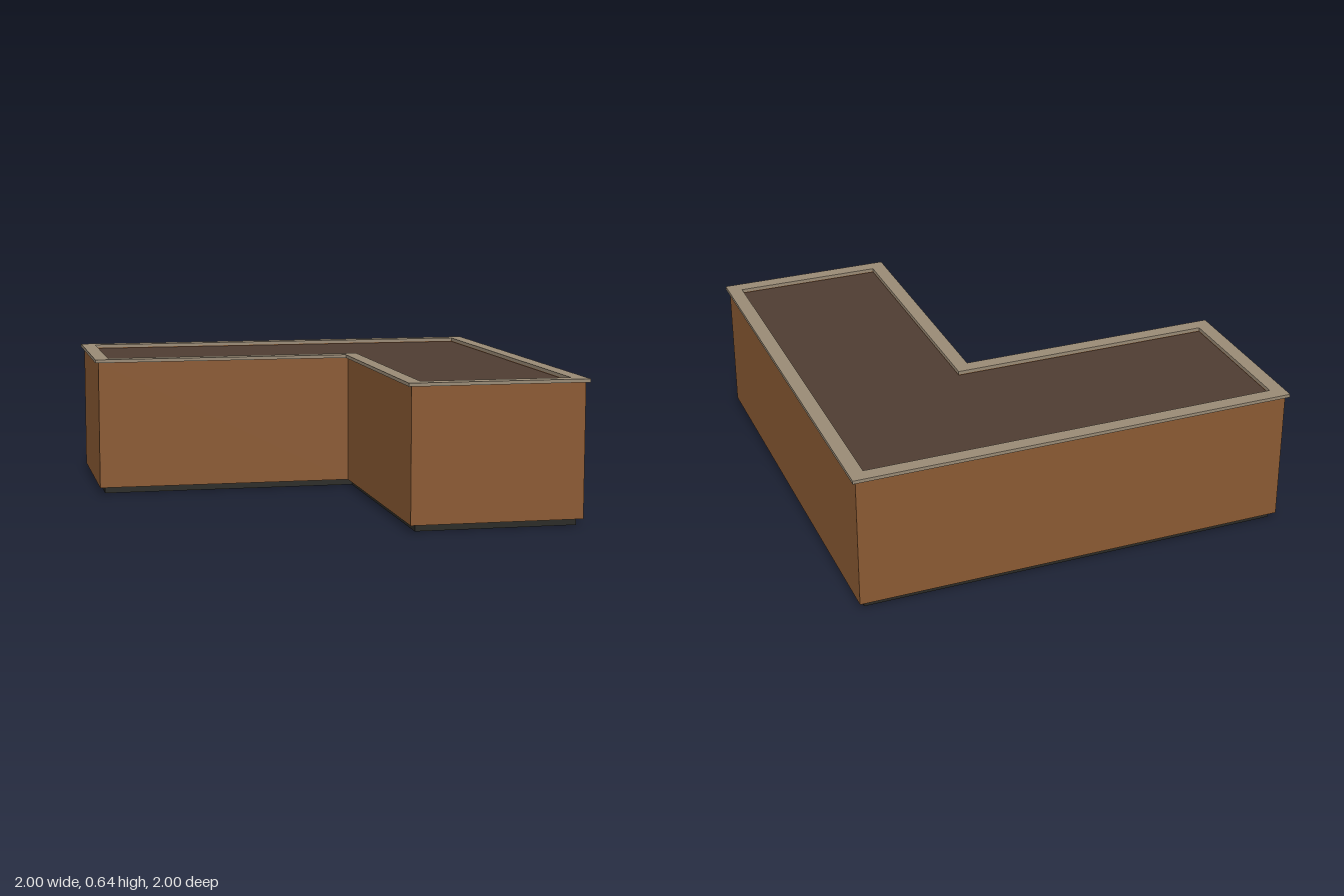
import * as THREE from 'three';

const mat = (name, color) => {
  const m = new THREE.MeshStandardMaterial({ color });
  m.name = name;
  return m;
};

// L-shaped outline in (x, z), moved inward by d on every side
const outline = (d) => [
  [-1 + d, -1 + d], [1 - d, -1 + d], [1 - d, 1 - d],
  [0.2 + d, 1 - d], [0.2 + d, -0.2 - d], [-1 + d, -0.2 - d],
].map(([x, z]) => new THREE.Vector2(x, z));

// Upright L-shaped slab between two heights, hollow when holeInset is given
function slab(name, material, inset, bottom, top, holeInset) {
  const shape = new THREE.Shape(outline(inset));
  if (holeInset !== undefined) shape.holes.push(new THREE.Path(outline(holeInset)));
  const geo = new THREE.ExtrudeGeometry(shape, { depth: top - bottom, bevelEnabled: false });
  geo.rotateX(Math.PI / 2).translate(0, top, 0);
  const mesh = new THREE.Mesh(geo, material);
  mesh.name = name;
  return mesh;
}

export function createModel() {
  const wood = mat('brown wall', 0x8b5a33);
  const stone = mat('taupe rim', 0x9a8b76);
  const earth = mat('dark soil', 0x4f3d32);
  const black = mat('black base', 0x2a2a26);

  const planter = new THREE.Group();
  planter.name = 'cornerPlanter';
  planter.add(
    slab('recessedBase', black, 0.04, 0, 0.03), // plinth set back under the walls
    slab('walls', wood, 0.015, 0.03, 0.625, 0.065), // hollow body
    slab('rim', stone, 0, 0.625, 0.64, 0.065), // overhanging cap
    slab('soil', earth, 0.065, 0.03, 0.622), // fill just below the rim
  );
  return planter;
}
